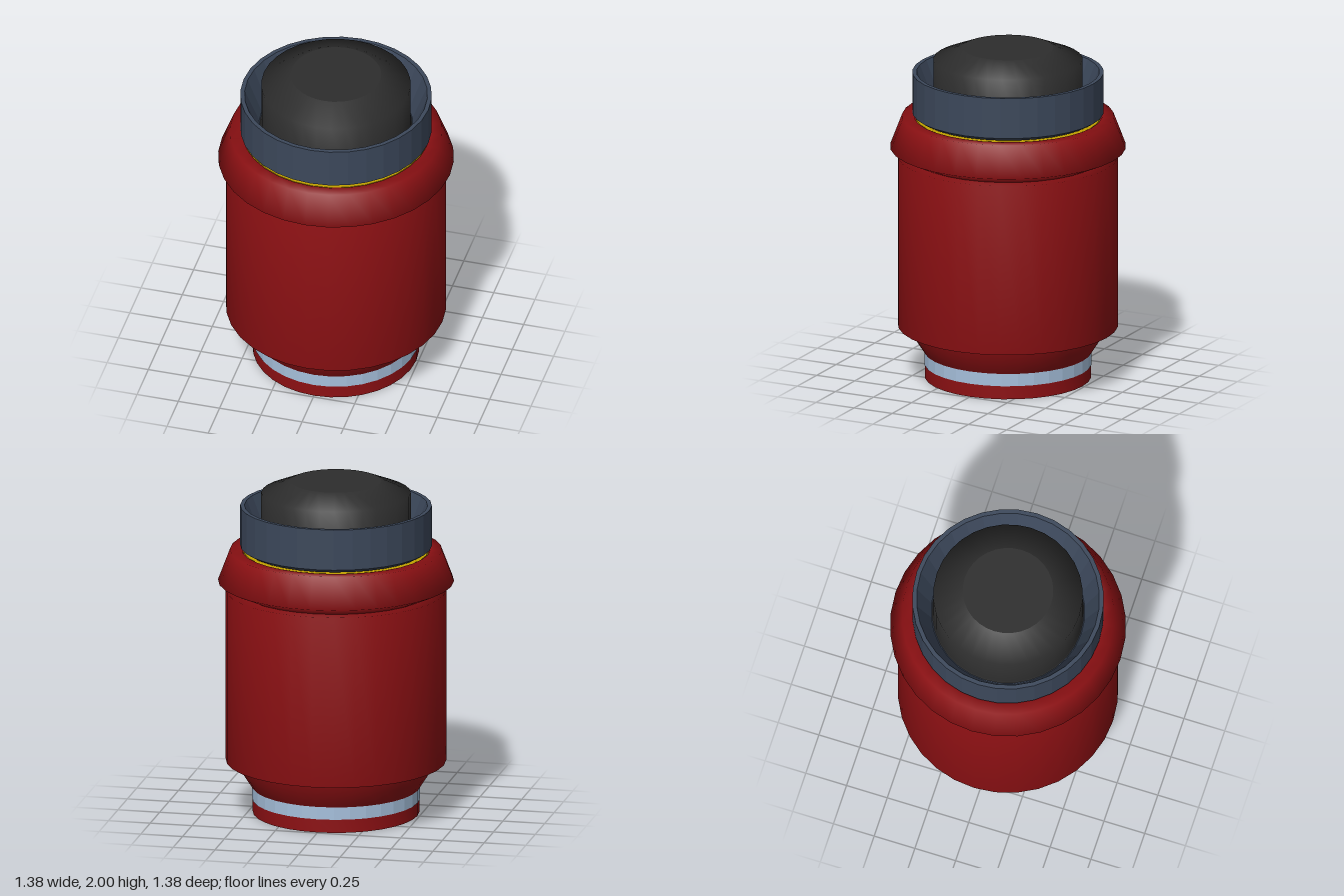
import * as THREE from 'three';
import { toCreasedNormals } from 'three/addons/utils/BufferGeometryUtils.js';

const SIDES = 32;
const material = (color, flatShading = false) => new THREE.MeshStandardMaterial({ color, flatShading });

// Turned part from [radius, height] pairs, running bottom-centre, outside, top.
// A crease angle keeps hard edges; without one the whole profile is blended.
function turned(name, mat, profile, crease = 0) {
  let geo = new THREE.LatheGeometry(profile.map(([r, y]) => new THREE.Vector2(r, y)), SIDES);
  if (crease) geo = toCreasedNormals(geo, crease);
  const mesh = new THREE.Mesh(geo, mat);
  mesh.name = name;
  return mesh;
}

export function createModel() {
  const model = new THREE.Group();
  model.name = 'canister';

  const red = material(0x8c1013);
  const navy = material(0x3c485b, true);
  const blue = material(0xa6c0dc, true);
  const black = material(0x2d2d2d);
  const yellow = material(0xc2a200);

  model.add(
    // Foot with a round hole underneath
    turned('foot', red, [[0.15, 0.08], [0.15, 0], [0.487, 0], [0.487, 0.08], [0.15, 0.08]], 0.6),
    // Pale band, closing the hole
    turned('footBand', blue, [[0, 0.08], [0.49, 0.08], [0.49, 0.155], [0, 0.155]]),
    // Neck flaring up into the body
    turned('neck', red, [[0.49, 0.155], [0.545, 0.24], [0.565, 0.32]]),
    // Main body, softly shaded over its ends
    turned('body', red, [[0.5, 0.315], [0.645, 0.315], [0.645, 1.345], [0.5, 1.345]]),
    // Sloped shoulder with a recessed top
    turned('shoulder', red, [[0.5, 1.325], [0.57, 1.345], [0.69, 1.4], [0.62, 1.585], [0.55, 1.585], [0.55, 1.56], [0, 1.56]]),
    // Yellow seal under the collar
    turned('seal', yellow, [[0, 1.55], [0.54, 1.55], [0.54, 1.58], [0, 1.58]], 0.6),
    // Collar with a bevelled base and tapering inner wall
    turned('collar', navy, [
      [0, 1.588], [0.525, 1.588], [0.56, 1.61], [0.56, 1.853], [0.535, 1.853], [0.45, 1.64], [0, 1.64],
    ]),
    // Rounded cap set into the collar
    turned('cap', black, [[0.445, 1.63], [0.445, 1.645], [0.437, 1.645], [0.437, 1.93], [0.265, 2]]),
  );

  // Flat centre of the cap
  const capTop = new THREE.Mesh(new THREE.CircleGeometry(0.265, SIDES), black);
  capTop.name = 'capTop';
  capTop.rotation.x = -Math.PI / 2;
  capTop.position.y = 2;
  model.add(capTop);

  return model;
}
